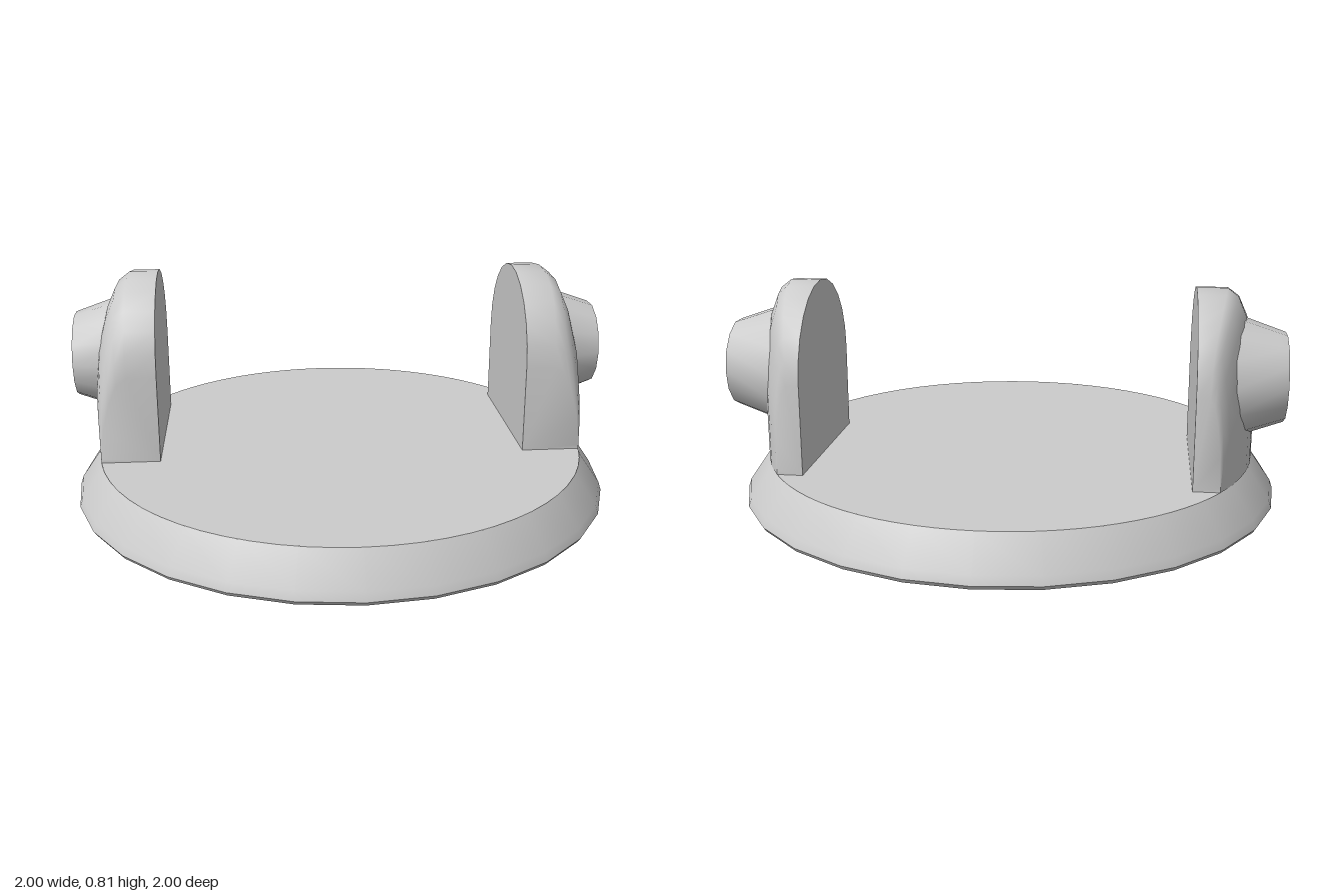
import * as THREE from 'three';
import { toCreasedNormals } from 'three/addons/utils/BufferGeometryUtils.js';

const material = new THREE.MeshStandardMaterial({ color: 0xcccccc, side: THREE.DoubleSide });

const TOP = 0.16;        // height of the plate
const R = 0.91;          // radius of the flat top
const INNER = 0.68;      // inner face of the lugs
const FRONT = 0.16, BACK = -0.48;

function add(parent, name, geometry) {
  const mesh = new THREE.Mesh(geometry, material);
  mesh.name = name;
  parent.add(mesh);
  return mesh;
}

// Flat top, cut away under the two hollow lugs
function plateGeometry() {
  const a = Math.asin(-BACK / R), b = Math.asin(FRONT / R);
  const shape = new THREE.Shape();
  shape.absarc(0, 0, R, a, Math.PI - a, false);
  shape.lineTo(-INNER, -BACK);
  shape.lineTo(-INNER, -FRONT);
  shape.absarc(0, 0, R, Math.PI + b, 2 * Math.PI - b, false);
  shape.lineTo(INNER, -FRONT);
  shape.lineTo(INNER, -BACK);
  return new THREE.ShapeGeometry(shape, 14).rotateX(-Math.PI / 2).translate(0, TOP, 0);
}

// Arched lug: vertical sections lofted from front to back, outer face following the rim
function lugGeometry() {
  const columns = 12, mid = (FRONT + BACK) / 2, half = (FRONT - BACK) / 2;
  const drop = [[0.5, 0], [0.68, 0.03], [0.82, 0.1], [0.94, 0.2], [1, 0.31]];
  const positions = [], index = [];
  const n = drop.length + 3;
  for (let j = 0; j <= columns; j++) {
    const a = (Math.PI * j) / columns;
    const z = mid + half * Math.cos(a);
    const h = 0.485 + 0.32 * Math.sin(a);
    const w = Math.sqrt(R * R - z * z) - INNER;
    positions.push(INNER, TOP, z, INNER, h, z);
    for (const [f, d] of drop) positions.push(INNER + w * f, h - d, z);
    positions.push(INNER + w, TOP, z);
  }
  for (let j = 0; j < columns; j++) {
    for (let i = 0; i < n - 1; i++) {
      const p = j * n + i, q = p + n;
      index.push(p, p + 1, q, p + 1, q + 1, q);
    }
  }
  // Front and back end walls
  const last = columns * n;
  for (let i = 1; i < n - 1; i++) {
    index.push(0, i + 1, i, last, last + i, last + i + 1);
  }
  const geometry = new THREE.BufferGeometry();
  geometry.setAttribute('position', new THREE.Float32BufferAttribute(positions, 3));
  geometry.setIndex(index);
  return toCreasedNormals(geometry, 0.9);
}

// Tapered boss pointing outwards
function bossGeometry() {
  return toCreasedNormals(
    new THREE.CylinderGeometry(0.16, 0.23, 0.2, 14)
      .rotateZ(-Math.PI / 2)
      .translate(0.9, 0.49, -0.16), 0.8);
}

export function createModel() {
  const model = new THREE.Group();
  model.name = 'lidWithLugs';

  add(model, 'topPlate', plateGeometry());

  // Sloping rim with a flat ring around the open underside
  const rim = [[0.89, 0], [0.99, 0], [1, 0.015], [0.99, 0.045], [R, TOP]]
    .map(([r, y]) => new THREE.Vector2(r, y));
  add(model, 'rim', toCreasedNormals(new THREE.LatheGeometry(rim, 28), 0.8));

  for (const side of [1, -1]) {
    const lug = new THREE.Group();
    lug.name = side > 0 ? 'leftLug' : 'rightLug';
    add(lug, 'lugBody', lugGeometry());
    add(lug, 'lugBoss', bossGeometry());
    lug.scale.x = side;
    model.add(lug);
  }
  return model;
}
